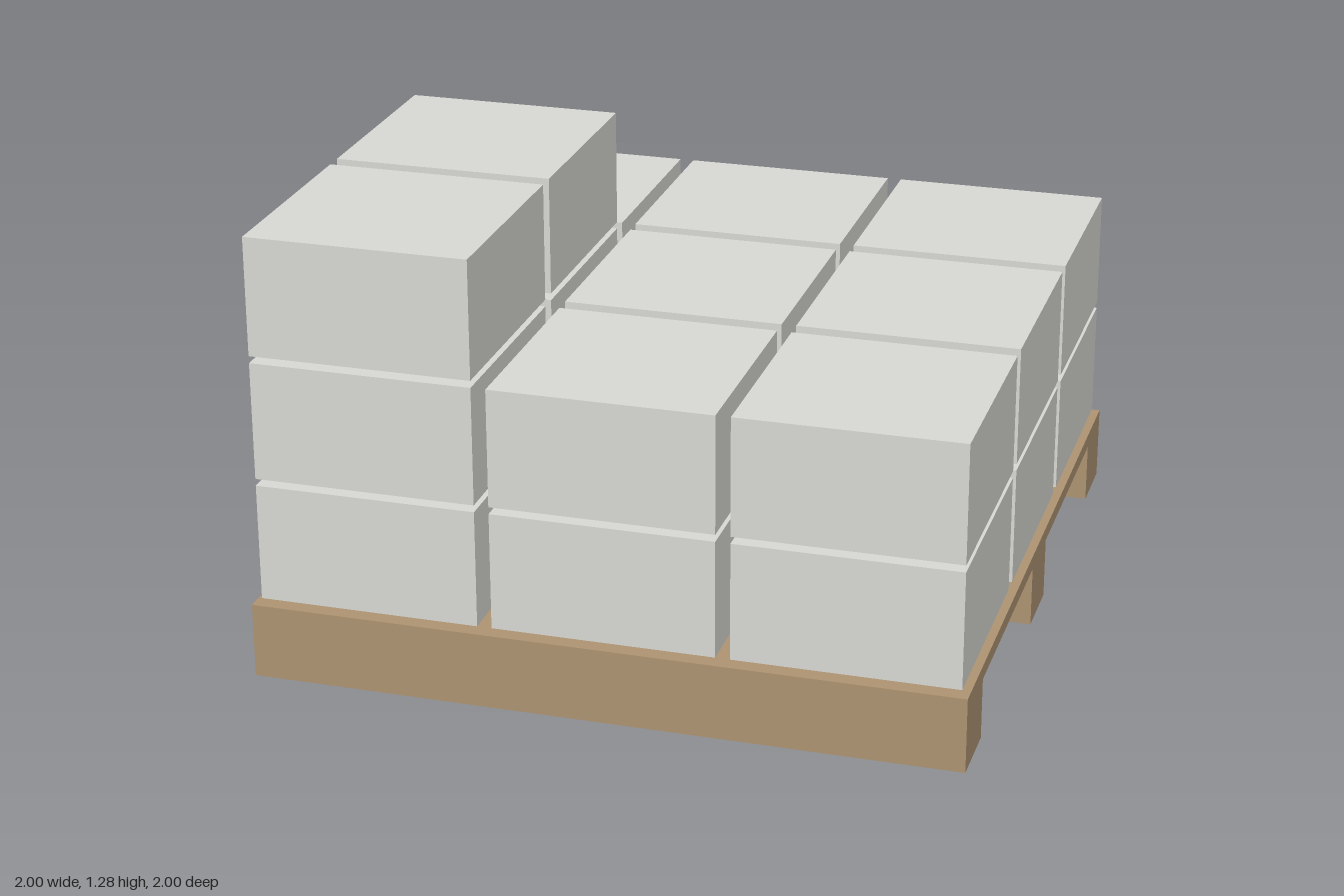
import * as THREE from 'three';

export function createModel() {
  const model = new THREE.Group();
  const wood = new THREE.MeshStandardMaterial({ color: 0xac9270 });
  const card = new THREE.MeshStandardMaterial({ color: 0xd6d7d2 });

  // Pallet: thin deck on three runners, one profile swept along x
  const top = 0.216, deck = 0.175;
  const profile = new THREE.Shape([
    [-1, 0], [-0.8, 0], [-0.8, deck], [-0.1, deck], [-0.1, 0], [0.1, 0],
    [0.1, deck], [0.8, deck], [0.8, 0], [1, 0], [1, top], [-1, top],
  ].map(([x, y]) => new THREE.Vector2(x, y)));
  const palletGeometry = new THREE.ExtrudeGeometry(profile, { depth: 2, bevelEnabled: false });
  palletGeometry.translate(0, 0, -1).rotateY(Math.PI / 2);
  const pallet = new THREE.Mesh(palletGeometry, wood);
  pallet.name = 'pallet';
  model.add(pallet);

  // Cartons: two full layers of 3 x 3, then two on top at the front right
  const cartons = new THREE.Group();
  cartons.name = 'cartons';
  const cartonGeometry = new THREE.BoxGeometry(0.626, 0.338, 0.617);
  const pitch = 0.667, layerHeight = 0.358;
  for (let layer = 0; layer < 3; layer++) {
    for (let row = -1; row <= 1; row++) {
      for (let column = -1; column <= 1; column++) {
        if (layer === 2 && (column !== -1 || row === -1)) continue;
        const carton = new THREE.Mesh(cartonGeometry, card);
        carton.name = 'carton';
        carton.position.set(column * pitch, 0.397 + layer * layerHeight, row * pitch);
        cartons.add(carton);
      }
    }
  }
  model.add(cartons);
  return model;
}
